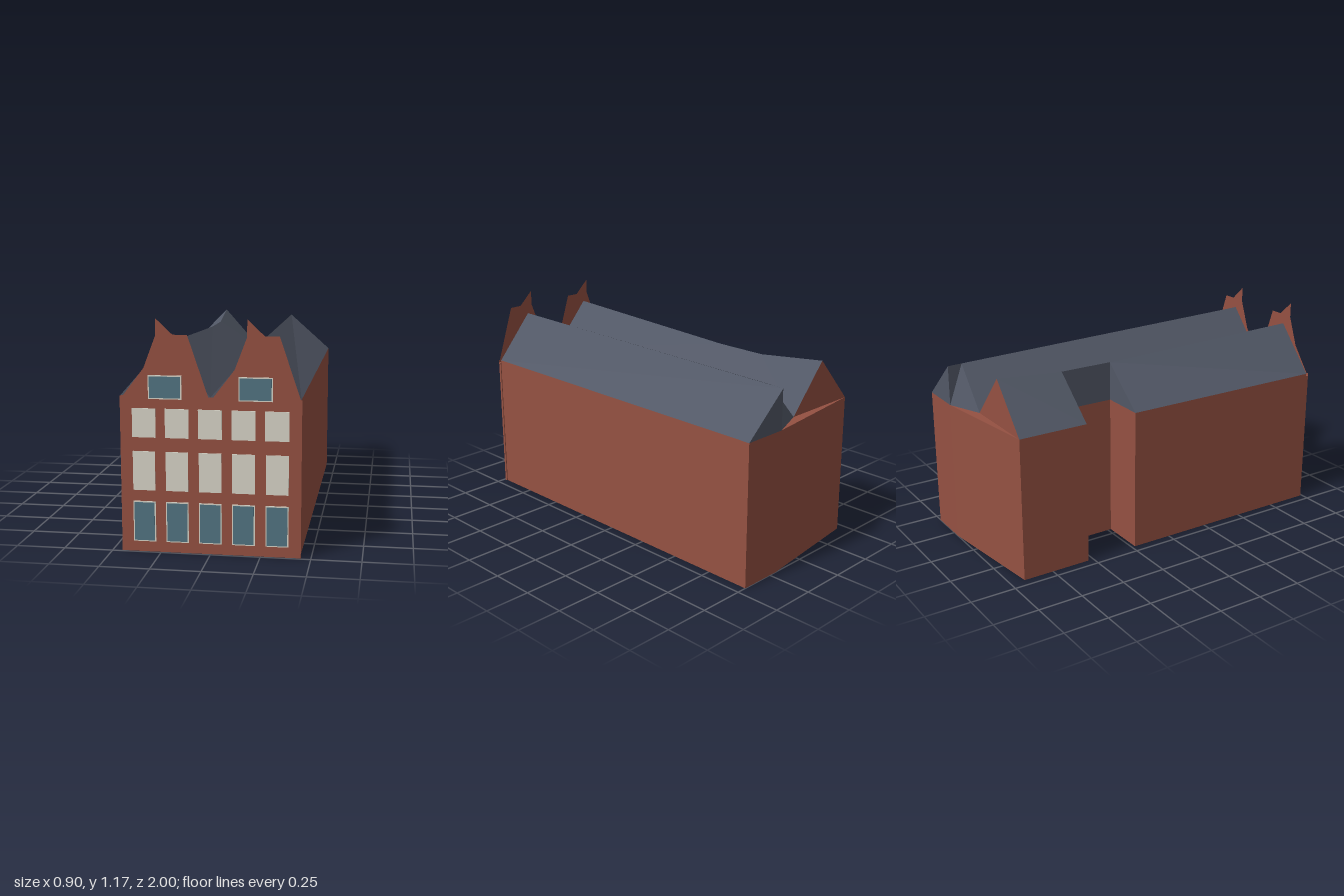
import * as THREE from 'three';

export function createModel() {
  const house = new THREE.Group();
  house.name = 'house';

  const material = (name, color, side = THREE.FrontSide) => {
    const m = new THREE.MeshStandardMaterial({ color, side });
    m.name = name;
    return m;
  };
  const brick = material('brick red', 0x955142, THREE.DoubleSide);
  const slate = material('slate grey', 0x525866, THREE.DoubleSide);
  const cream = material('cream paint', 0xd9d5c8);
  const glass = material('blue glass', 0x527482);

  const add = (name, geometry, mat, parent = house) => {
    const mesh = new THREE.Mesh(geometry, mat);
    mesh.name = name;
    parent.add(mesh);
    return mesh;
  };

  // Flat polygons (triangles or quads), each fanned from its first corner
  const faces = (polygons) => {
    const pos = [];
    for (const p of polygons) {
      for (let i = 1; i < p.length - 1; i++) pos.push(...p[0], ...p[i], ...p[i + 1]);
    }
    const g = new THREE.BufferGeometry();
    g.setAttribute('position', new THREE.Float32BufferAttribute(pos, 3));
    g.computeVertexNormals();
    return g;
  };

  const eave = 0.79, front = 0.975, back = -0.92;

  // Walls: footprint with a light well on one side and a slanted back
  const footprint = [
    [-0.45, front], [0.445, front], [0.445, -1], [0.2, -1], [-0.45, back],
    [-0.45, -0.53], [-0.2, -0.53], [-0.2, -0.23], [-0.45, -0.23],
  ];
  const plan = new THREE.Shape(footprint.map(([x, z]) => new THREE.Vector2(x, -z)));
  const walls = new THREE.ExtrudeGeometry(plan, { depth: eave, bevelEnabled: false });
  walls.rotateX(-Math.PI / 2);
  add('walls', walls, brick);

  // Roof of the +x half
  const valleyFront = [0, eave, front], valleyBack = [0, eave, back];
  const ridgeA = [0.225, 1.045, front], ridgeB = [0.197, 1.012, back], ridgeC = [0.197, 1.01, -1];
  const corner = [0.197, eave, -1];
  add('leftRoof', faces([
    [[0.445, eave, front], [0.445, eave, -1], ridgeC],
    [[0.445, eave, front], ridgeC, ridgeA],
    [valleyFront, ridgeA, ridgeB, valleyBack],
    [valleyBack, ridgeB, corner],
    [corner, ridgeB, ridgeC],
    [corner, ridgeC, [0.445, eave, -1]],
    [valleyFront, [0.445, eave, front], ridgeA],
  ]), slate);

  // Roof of the -x half, cut by the light well
  const topFront = [-0.225, 1.045, front], topWell = [-0.2, 1.005, -0.23];
  const topWell2 = [-0.2, 1.005, -0.53], topBack = [-0.225, 1.045, back];
  const wellLow = [-0.2, eave, -0.23], wellLow2 = [-0.2, eave, -0.53];
  add('rightRoof', faces([
    [[-0.45, eave, front], topFront, topWell, [-0.45, eave, -0.23]],
    [[-0.45, eave, -0.53], topWell2, topBack, [-0.45, eave, back]],
    [valleyFront, topWell, topFront],
    [valleyFront, topWell2, topWell],
    [valleyFront, valleyBack, topWell2],
    [valleyBack, topBack, topWell2],
    [[-0.45, eave, -0.23], topWell, wellLow],
    [[-0.45, eave, -0.53], wellLow2, topWell2],
    [wellLow, topWell, topWell2, wellLow2],
    [[-0.45, eave, front], valleyFront, topFront],
  ]), slate);
  add('backGable', faces([[[-0.45, eave, back], topBack, valleyBack]]), brick);

  // Facade slab with two thin stepped gables
  const facade = new THREE.Group();
  facade.name = 'facade';
  house.add(facade);
  const faceZ = 0.99;
  const slab = new THREE.BoxGeometry(0.9, 0.775, faceZ - front);
  slab.translate(0, 0.3875, (faceZ + front) / 2);
  add('facadeWall', slab, brick, facade);

  const gableProfile = [
    [0, 0.775], [0.45, 0.775], [0.45, 0.79], [0.443, 0.79], [0.34, 1.095], [0.268, 1.095],
    [0.183, 1.175], [0.183, 1.09], [0.122, 0.93], [0.015, 0.79], [0, 0.79],
  ];
  for (const x of [-0.45, 0]) {
    const shape = new THREE.Shape(gableProfile.map(([px, py]) => new THREE.Vector2(px + x, py)));
    const g = new THREE.ShapeGeometry(shape);
    g.translate(0, 0, faceZ);
    add('frontGable', g, brick, facade);
  }

  // Windows: cream plates, some with a glass pane on top
  const addWindow = (x, y, w, h, glazed) => {
    const win = new THREE.Group();
    win.name = 'window';
    win.position.set(x, y, faceZ + 0.002);
    facade.add(win);
    add(glazed ? 'windowFrame' : 'shutter', new THREE.BoxGeometry(w, h, 0.004), cream, win);
    if (glazed) {
      const pane = new THREE.BoxGeometry(w - 0.012, h - 0.012, 0.004);
      add('windowPane', pane, glass, win).position.z = 0.003;
    }
  };
  for (let i = -2; i <= 2; i++) {
    addWindow(i * 0.166, 0.157, 0.114, 0.207, true);
    addWindow(i * 0.166, 0.416, 0.112, 0.198, false);
    addWindow(i * 0.165, 0.658, 0.118, 0.146, false);
  }
  for (const x of [-0.223, 0.225]) addWindow(x, 0.837, 0.167, 0.118, true);

  return house;
}
